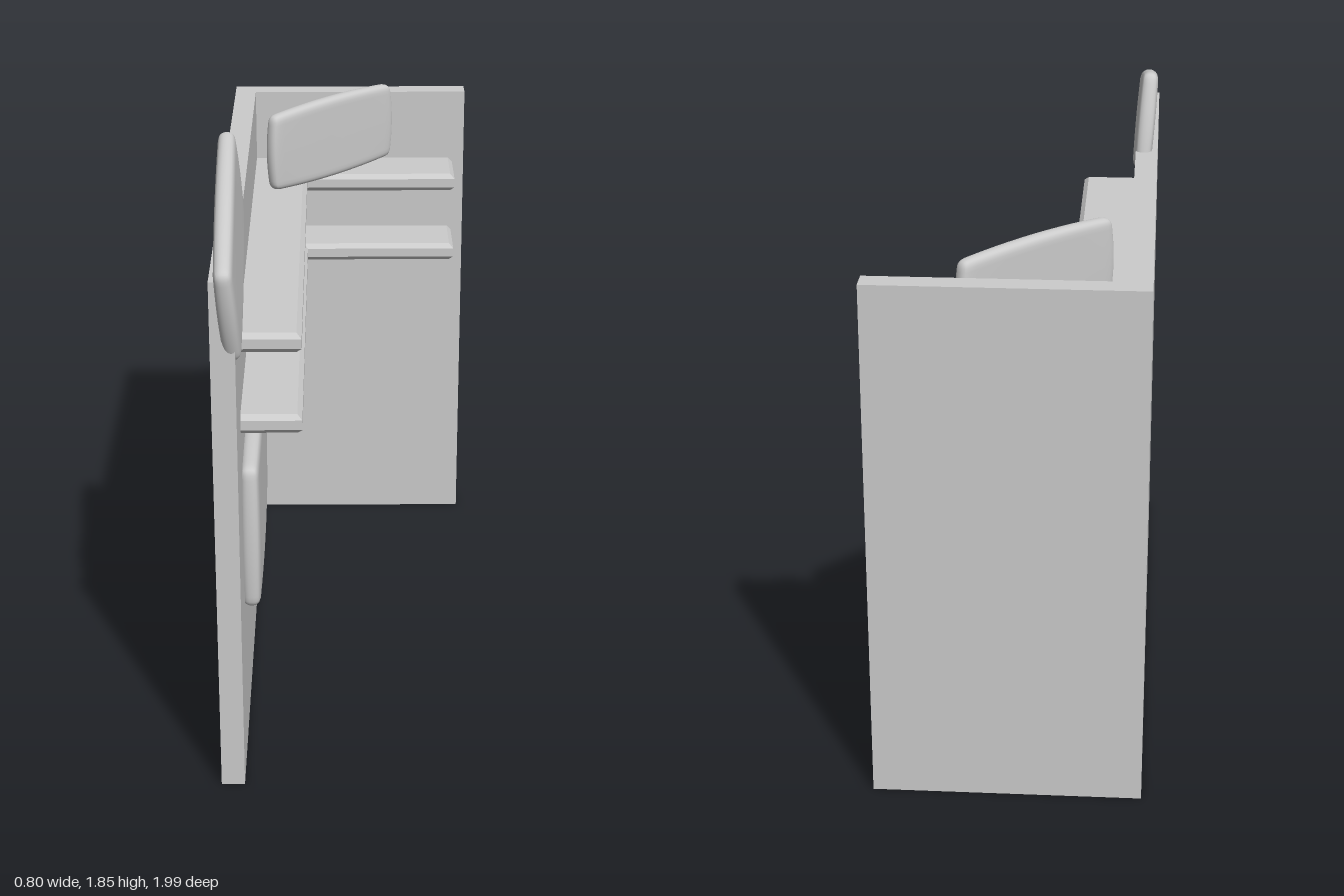
import * as THREE from 'three';
import { mergeVertices } from 'three/addons/utils/BufferGeometryUtils.js';

const material = new THREE.MeshStandardMaterial({ color: 0xcccccc });

function addMesh(parent, name, geometry, x, y, z) {
  const mesh = new THREE.Mesh(geometry, material);
  mesh.name = name;
  mesh.position.set(x, y, z);
  parent.add(mesh);
  return mesh;
}

// Soft slab: a box with rounded edges whose sides bow out slightly at the middle
function cushionGeometry(w, h, d, r = 0.026, bow = 0.012) {
  let geo = new THREE.BoxGeometry(2, 2, 2, 20, 20, 8);
  geo.deleteAttribute('uv');
  geo.deleteAttribute('normal');
  geo = mergeVertices(geo);
  const pos = geo.attributes.position;
  const half = new THREE.Vector3(w / 2 - bow, h / 2 - bow, d / 2);
  const inner = half.clone().subScalar(r);
  const p = new THREE.Vector3(), core = new THREE.Vector3();
  // crowd the vertices towards the rim, where the rounding is
  const crowd = (t) => Math.sign(t) * (1 - (1 - Math.abs(t)) ** 2);
  for (let i = 0; i < pos.count; i++) {
    p.fromBufferAttribute(pos, i);
    p.set(crowd(p.x), crowd(p.y), p.z).multiply(half);
    core.copy(p).clamp(inner.clone().negate(), inner);
    p.sub(core).setLength(r).add(core);
    const u = p.x / half.x, v = p.y / half.y;
    pos.setXYZ(i, p.x + bow * u * (1 - v * v), p.y + bow * v * (1 - u * u),
      p.z * (1 - 0.12 * u * u * v * v));
  }
  geo.computeVertexNormals();
  return geo;
}

// L-shaped board with chamfered edges; its wall sides are sunk into the panels
function shelfGeometry(thickness, bevel) {
  const outline = [[-0.36, -0.96], [0.36, -0.96], [0.36, -0.73],
    [-0.15, -0.73], [-0.15, 0.715], [-0.36, 0.715]];
  const shape = new THREE.Shape(outline.map(([x, z]) => new THREE.Vector2(x, z)));
  const geo = new THREE.ExtrudeGeometry(shape, {
    depth: thickness - 2 * bevel, bevelEnabled: true, bevelSegments: 1,
    bevelSize: bevel, bevelThickness: bevel, bevelOffset: -bevel,
  });
  return geo.rotateX(Math.PI / 2).translate(0, -bevel, 0);
}

export function createModel() {
  const model = new THREE.Group();
  model.name = 'cornerPartition';

  // Upright panels
  addMesh(model, 'sidePanel', new THREE.BoxGeometry(0.07, 1.615, 1.855), -0.365, 0.8075, -0.0025);
  addMesh(model, 'backPanel', new THREE.BoxGeometry(0.8, 1.615, 0.07), 0, 0.8075, -0.965);

  // Two corner shelves
  const shelf = shelfGeometry(0.06, 0.015);
  addMesh(model, 'lowerShelf', shelf, 0, 1.12, 0);
  addMesh(model, 'upperShelf', shelf, 0, 1.375, 0);

  // Cushion fixed to the side panel
  const wall = addMesh(model, 'wallCushion', cushionGeometry(0.75, 0.49, 0.06), -0.31, 0.697, 0.315);
  wall.rotation.y = Math.PI / 2;

  // Cushion standing across the corner on the upper shelf
  const corner = addMesh(model, 'cornerCushion', cushionGeometry(0.58, 0.28, 0.05, 0.022), -0.068, 1.525, -0.704);
  corner.rotation.y = Math.PI / 4;

  // Tilted cushion straddling the top of the side panel
  const tilted = addMesh(model, 'tiltedCushion', cushionGeometry(0.74, 0.33, 0.056), -0.355, 1.613, 0.607);
  tilted.rotation.set(-0.07, Math.PI / 2, 0.28, 'YXZ');

  return model;
}
